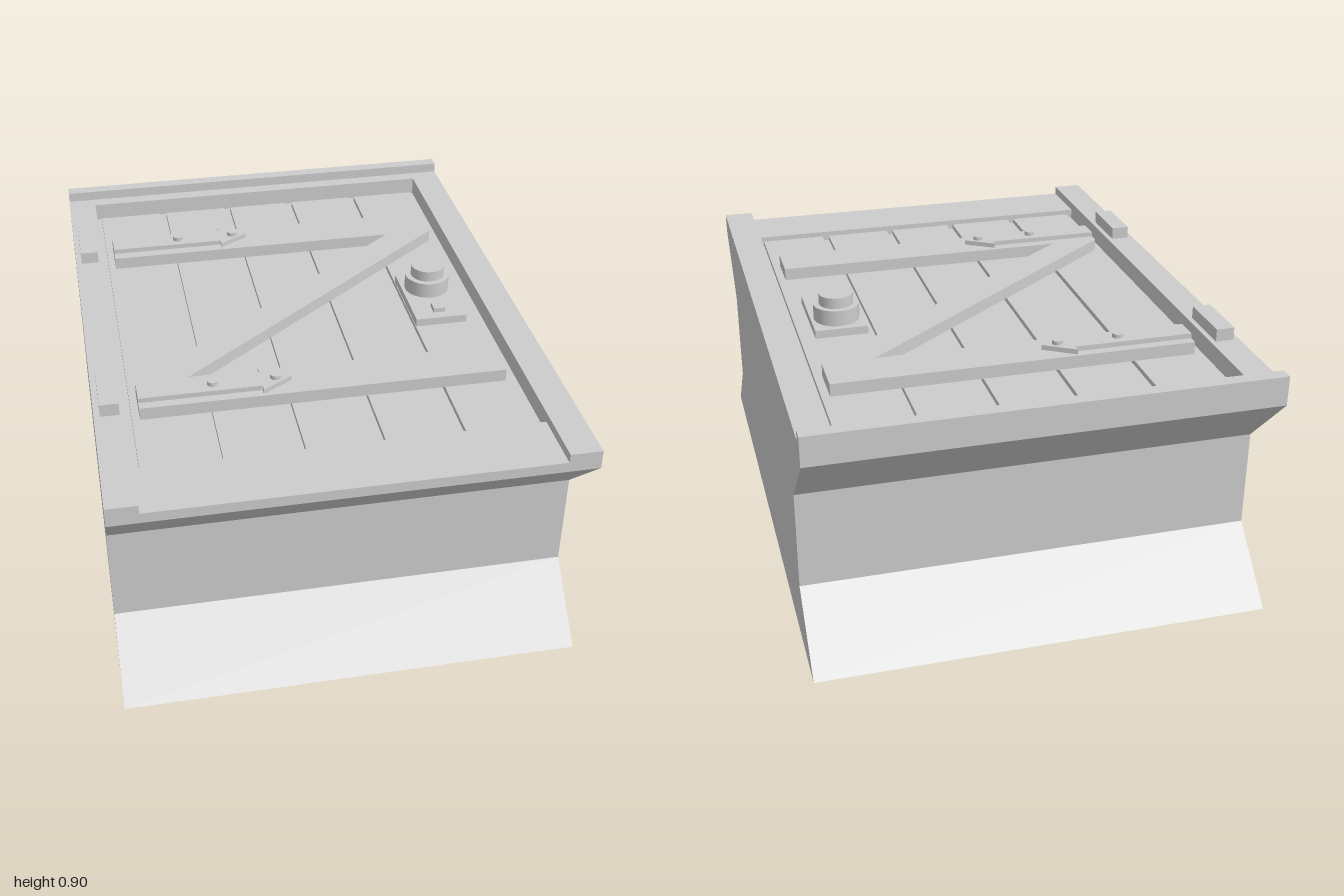
import * as THREE from 'three';

const stone = new THREE.MeshStandardMaterial({ color: 0xcccccc });
stone.name = 'plain grey';

export function createModel() {
  const model = new THREE.Group();
  model.name = 'trapdoorBlock';

  const add = (name, geometry) => {
    const mesh = new THREE.Mesh(geometry, stone);
    mesh.name = name;
    model.add(mesh);
    return mesh;
  };
  // Box given by its extents
  const box = (name, x0, x1, y0, y1, z0, z1) =>
    add(name, new THREE.BoxGeometry(x1 - x0, y1 - y0, z1 - z0)
      .translate((x0 + x1) / 2, (y0 + y1) / 2, (z0 + z1) / 2));
  // Plan outline in [x, z], raised from y0 to y1
  const plate = (name, points, y0, y1) => {
    const shape = new THREE.Shape(points.map(([x, z]) => new THREE.Vector2(x, -z)));
    return add(name, new THREE.ExtrudeGeometry(shape, { depth: y1 - y0, bevelEnabled: false })
      .rotateX(-Math.PI / 2).translate(0, y0, 0));
  };
  const disc = (name, r, x, z, y0, y1, sides = 32) =>
    add(name, new THREE.CylinderGeometry(r, r, y1 - y0, sides).translate(x, (y0 + y1) / 2, z));

  const W = 0.755, floor = 0.765, rim = 0.83, panel = 0.782, ledge = 0.825;

  // Waisted base, profile in [z, y]
  const half = [[1, 0], [0.785, 0.215], [0.785, 0.55], [1, floor]];
  const outline = [...half, ...half.map(([z, y]) => [-z, y]).reverse()];
  const profile = new THREE.Shape(outline.map(([z, y]) => new THREE.Vector2(z, y)));
  add('base', new THREE.ExtrudeGeometry(profile, { depth: 2 * W, bevelEnabled: false })
    .rotateY(-Math.PI / 2).translate(W, 0, 0));

  // Frame around the door, low sill at the front, raised lip at the back
  box('frameRight', -W, -0.655, floor, rim, -0.905, 1);
  box('frameLeft', 0.65, W, floor, rim, -0.905, 1);
  box('frameBack', -W, W, floor, rim, -0.955, -0.905);
  box('backLip', -W, W, floor, 0.865, -1, -0.955);
  box('sill', -0.655, 0.65, floor, 0.8, 0.785, 1);

  // Five planks with grooves between them
  const edges = [[-0.635, -0.402], [-0.377, -0.143], [-0.118, 0.11], [0.135, 0.37], [0.395, 0.63]];
  for (const [x0, x1] of edges) box('plank', x0, x1, floor, panel, -0.88, 0.785);

  // Z-shaped bracing
  box('crossBoardBack', -0.61, 0.603, panel, ledge, -0.615, -0.465);
  box('crossBoardFront', -0.61, 0.603, panel, ledge, 0.365, 0.515);
  plate('diagonalBrace', [[-0.61, 0.365], [-0.435, 0.365], [0.603, -0.465], [0.43, -0.465]], panel, ledge);

  // Arrow-ended straps, rivets and hinge blocks
  for (const [z, hinge] of [[-0.543, -0.54], [0.443, 0.443]]) {
    plate('hingeStrap', [[-0.61, z + 0.04], [-0.207, z + 0.04], [-0.207, z + 0.063], [-0.105, z],
      [-0.207, z - 0.063], [-0.207, z - 0.04], [-0.61, z - 0.04]], ledge, 0.842);
    for (const x of [-0.365, -0.158]) disc('rivet', 0.018, x, z, 0.842, 0.856, 16);
    box('hingeBlock', -0.735, -0.673, rim, 0.873, hinge - 0.099, hinge + 0.099);
  }

  // Lock plate, stepped knob and arched keyhole cover
  box('lockPlate', 0.397, 0.578, panel, 0.81, -0.18, 0.135);
  disc('knobBase', 0.079, 0.488, -0.08, 0.81, 0.865);
  disc('knob', 0.059, 0.488, -0.08, 0.865, 0.903);
  const arch = [[0.468, 0.1], [0.508, 0.1]];
  for (let i = 0; i <= 8; i++) {
    const a = (i / 8) * Math.PI;
    arch.push([0.488 + 0.02 * Math.cos(a), 0.06 - 0.02 * Math.sin(a)]);
  }
  plate('keyholeCover', arch, 0.81, 0.826);

  return model;
}
